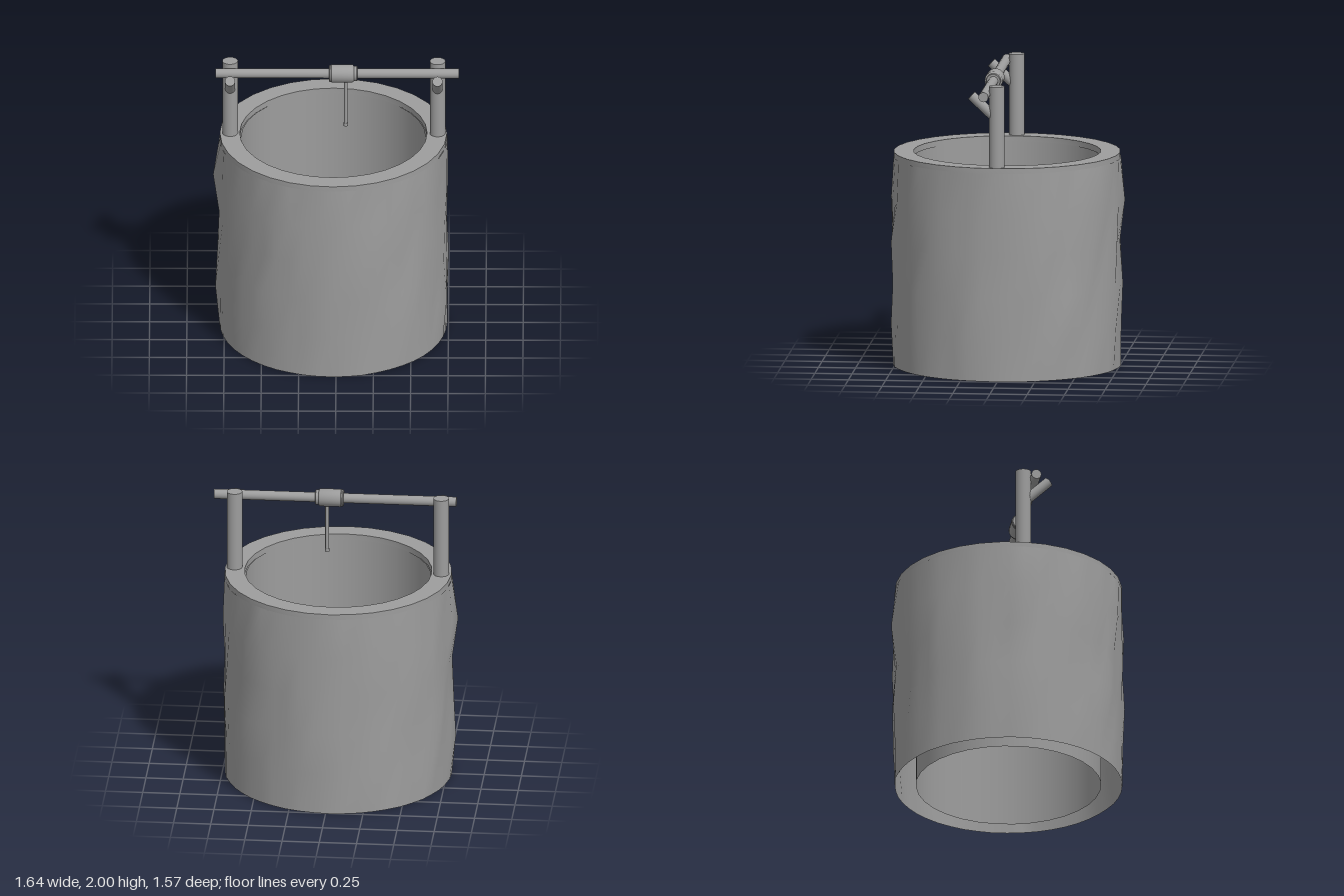
import * as THREE from 'three';
import { toCreasedNormals } from 'three/addons/utils/BufferGeometryUtils.js';

const CX = -0.02, CZ = 0.007; // axis of the well shaft
const R_OUT = 0.76, R_RIM = 0.627, R_IN = 0.62, COLS = 48;
const TAU = Math.PI * 2;

const solid = new THREE.MeshStandardMaterial({ color: 0x9d9d9d });
const open = new THREE.MeshStandardMaterial({ color: 0x9d9d9d, side: THREE.DoubleSide });

function add(group, name, geometry, material = solid) {
  const mesh = new THREE.Mesh(geometry, material);
  mesh.name = name;
  group.add(mesh);
  return mesh;
}

// Round bar between two points
function bar(group, name, from, to, radius, sides = 20) {
  const a = new THREE.Vector3(...from), b = new THREE.Vector3(...to);
  const dir = b.clone().sub(a);
  const mesh = add(group, name, new THREE.CylinderGeometry(radius, radius, dir.length(), sides));
  mesh.position.copy(a).add(b).multiplyScalar(0.5);
  mesh.quaternion.setFromUnitVectors(new THREE.Vector3(0, 1, 0), dir.normalize());
  return mesh;
}

function seeded(seed) {
  return () => (seed = (seed * 16807) % 2147483647) / 2147483647;
}

// Outer wall: a tube with vertices pushed outward into weathered lumps
function roughWall() {
  const rows = 5, height = 1.41;
  const geo = new THREE.CylinderGeometry(R_OUT, R_OUT, height, COLS, rows, true);
  const rand = seeded(77);
  const push = Array.from({ length: rows + 1 }, (_, r) =>
    Array.from({ length: COLS }, () => (r === 0 || r === rows ? rand() * 0.004 : rand() ** 2 * 0.022 - 0.002)));
  // Larger lumps: [column, row from the top, outward push]
  const lumps = [
    [36, 1, 0.045], [36, 4, 0.03], [35, 1, 0.02], [24, 1, 0.032], [22, 2, 0.025],
    [10, 4, 0.026], [2, 2, 0.028], [18, 1, 0.032], [17, 3, 0.022], [30, 2, 0.025],
    [44, 1, 0.03], [43, 3, 0.025], [5, 1, 0.022], [27, 4, 0.02], [15, 2, 0.022],
    [33, 3, 0.018], [40, 2, 0.018], [6, 3, 0.018],
  ];
  for (const [c, r, d] of lumps) push[r][c] = d;
  const p = geo.attributes.position;
  for (let i = 0; i < p.count; i++) {
    const row = Math.floor(i / (COLS + 1)), col = (i % (COLS + 1)) % COLS;
    const k = 1 + push[row][col] / R_OUT;
    p.setXYZ(i, p.getX(i) * k, p.getY(i), p.getZ(i) * k);
  }
  geo.computeVertexNormals();
  // Match normals across the seam
  const n = geo.attributes.normal;
  for (let r = 0; r <= rows; r++) {
    const a = r * (COLS + 1), b = a + COLS;
    const v = new THREE.Vector3().fromBufferAttribute(n, a)
      .add(new THREE.Vector3().fromBufferAttribute(n, b)).normalize();
    n.setXYZ(a, v.x, v.y, v.z);
    n.setXYZ(b, v.x, v.y, v.z);
  }
  return geo.translate(0, height / 2, 0);
}

// Flat ring slab lying on the walls
function rimGeometry() {
  const shape = new THREE.Shape().absarc(0, 0, R_OUT, 0, TAU);
  shape.holes.push(new THREE.Path().absarc(0, 0, R_RIM, 0, TAU, true));
  const slab = new THREE.ExtrudeGeometry(shape, { depth: 0.04, bevelEnabled: false, curveSegments: 16 });
  return toCreasedNormals(slab.rotateX(-Math.PI / 2), 0.6);
}

export function createModel() {
  const model = new THREE.Group();
  model.name = 'waterWell';

  // Hollow shaft, open at the bottom between the two walls
  const shaft = new THREE.Group();
  shaft.name = 'shaft';
  shaft.position.set(CX, 0.003, CZ);
  model.add(shaft);
  add(shaft, 'outerWall', roughWall(), open);
  add(shaft, 'innerWall', new THREE.CylinderGeometry(R_IN, R_IN, 1.41, 32, 1, true).translate(0, 0.705, 0), open);
  add(shaft, 'rim', rimGeometry()).position.y = 1.405;

  // Posts with a slanted prong that cradles the axle
  for (const side of [-1, 1]) {
    const x = CX + 0.003 + side * 0.694;
    bar(model, 'post', [x, 1.42, 0.01], [x, 1.997, 0.01], 0.052, 24);
    bar(model, 'prong', [x, 1.775, 0.012], [x, 1.933, 0.18], 0.034);
  }

  // Winding axle
  const axleY = 1.943, axleZ = 0.086;
  bar(model, 'axle', [-0.807, axleY, axleZ], [0.82, axleY, axleZ], 0.033);

  // Rope drum turned around the axle, with stepped collars
  const drumProfile = [
    [0.03, -0.05], [0.052, -0.05], [0.057, -0.044], [0.057, -0.036], [0.06, -0.032],
    [0.06, 0.108], [0.057, 0.113], [0.05, 0.117], [0.05, 0.136], [0.046, 0.141], [0.03, 0.141],
  ].map(([r, y]) => new THREE.Vector2(r, y));
  const drum = add(model, 'drum', toCreasedNormals(new THREE.LatheGeometry(drumProfile, 24), 0.6), open);
  drum.rotation.z = -Math.PI / 2;
  drum.position.set(0, axleY, axleZ);

  // Hanging rope with a small knot
  bar(model, 'rope', [0.063, 1.56, 0.091], [0.063, 1.93, 0.091], 0.012, 12);
  bar(model, 'ropeKnot', [0.063, 1.55, 0.091], [0.063, 1.572, 0.091], 0.015, 12);

  return model;
}
